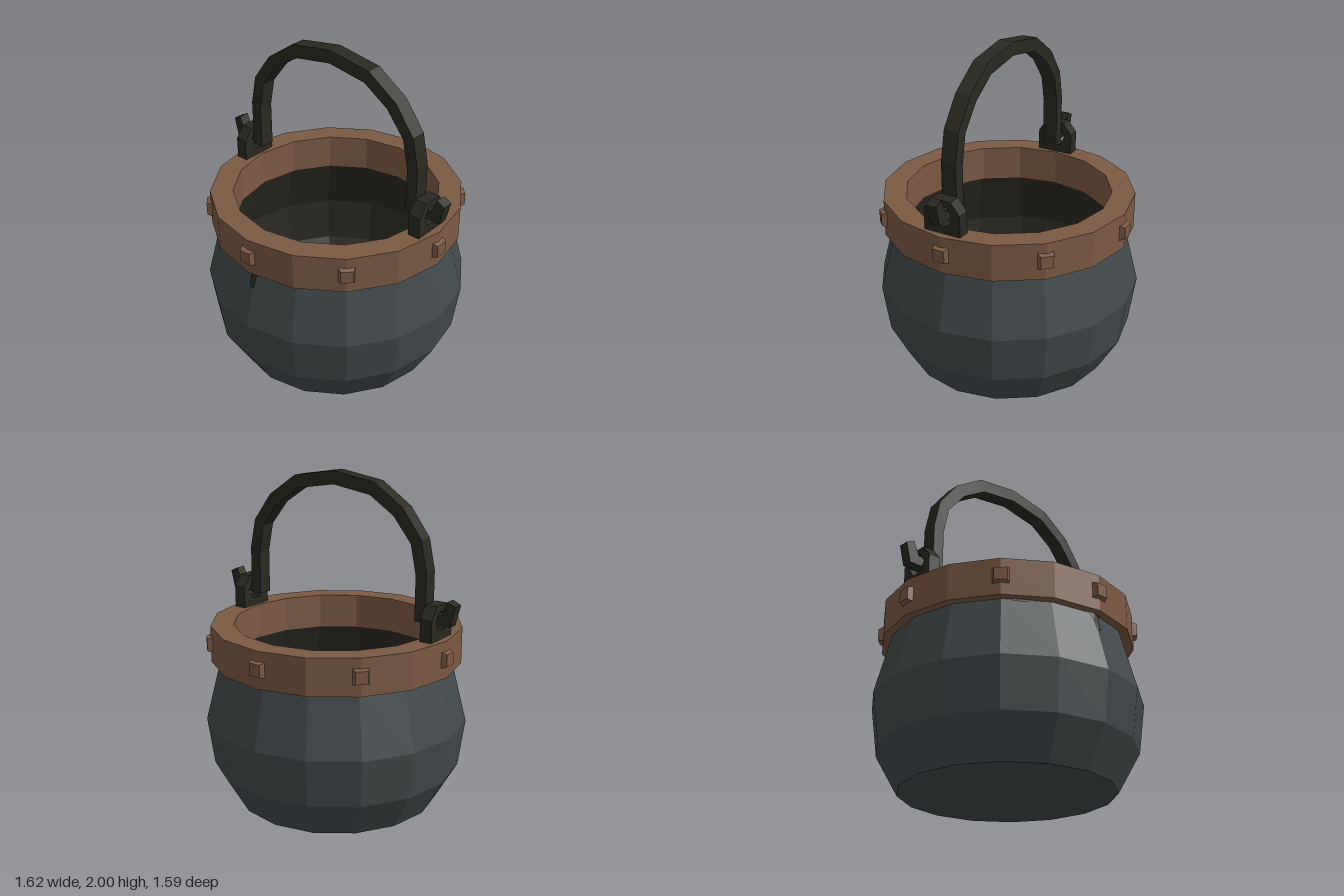
import * as THREE from 'three';

const SIDES = 16;
const Z0 = 0.015; // the handle and lugs sit slightly forward

const mat = (name, color) => {
  const m = new THREE.MeshStandardMaterial({ color });
  m.name = name;
  m.flatShading = true;
  return m;
};

export function createModel() {
  const iron = mat('blue grey iron', 0x42494b);
  const copper = mat('brown rim', 0x7b5a43);
  const dark = mat('dark olive iron', 0x292820);
  const group = new THREE.Group();

  const add = (name, geometry, material, parent = group) => {
    const mesh = new THREE.Mesh(geometry, material);
    mesh.name = name;
    parent.add(mesh);
    return mesh;
  };
  const vec = (pts) => pts.map(([x, y]) => new THREE.Vector2(x, y));
  const lathe = (pts) => new THREE.LatheGeometry(vec(pts), SIDES);
  // Extrusion centred on its own depth
  const slab = (shape, depth) =>
    new THREE.ExtrudeGeometry(shape, { depth, bevelEnabled: false }).translate(0, 0, -depth / 2);

  // Pot: outer wall with base, and a thin inner wall with floor
  add('potBody', lathe([[0, 0], [0.625, 0], [0.757, 0.23], [0.797, 0.52], [0.7, 0.9]]), iron);
  add('potInside', lathe([[0.65, 0.9], [0.765, 0.52], [0.73, 0.24], [0.615, 0.03], [0, 0.03]]), dark);

  // Rim band
  add('rim', lathe([[0.62, 0.88], [0.757, 0.88], [0.757, 1.1], [0.62, 1.1], [0.62, 0.88]]), copper);

  // Rivets: eight square studs with tapered heads
  for (let i = 0; i < 8; i++) {
    const stud = new THREE.CylinderGeometry(0.052, 0.073, 0.05, 4)
      .rotateY(Math.PI / 4).rotateX(Math.PI / 2)
      .translate(0, 0.995, 0.755).rotateY((i * Math.PI) / 4);
    add('rivet', stud, copper);
  }

  // Lugs: chamfered plates with a hexagonal eye
  const lug = new THREE.Shape(vec([
    [-0.115, 1.08], [0.115, 1.08], [0.115, 1.23], [0.06, 1.3], [-0.06, 1.3], [-0.115, 1.23],
  ]));
  const eye = [];
  for (let i = 0; i < 6; i++) {
    const a = (-i * Math.PI) / 3;
    eye.push([0.066 * Math.cos(a), 1.205 + 0.066 * Math.sin(a)]);
  }
  lug.holes.push(new THREE.Path(vec(eye)));
  for (const s of [-1, 1]) {
    add('lug', slab(lug, 0.075).rotateY(Math.PI / 2), dark).position.set(s * 0.673, 0, Z0);
  }

  // Handle: faceted arch with straight legs
  const mirror = (pts) => pts.slice(0, -1).reverse().map(([x, y]) => [-x, y]);
  const outer = [[0.63, 1.19], [0.63, 1.48], [0.592, 1.66], [0.47, 1.825], [0.28, 1.955], [0, 2]];
  const inner = [[0.56, 1.19], [0.56, 1.46], [0.525, 1.63], [0.41, 1.775], [0.25, 1.88], [0, 1.92]];
  const arch = [...outer, ...mirror(outer), ...[...inner, ...mirror(inner)].reverse()];
  add('handle', slab(new THREE.Shape(vec(arch)), 0.093), dark).position.z = Z0;

  // Hooks: bars through the lugs with upturned tips
  const hook = [[0.6, 1.19], [0.78, 1.185], [0.81, 1.305], [0.76, 1.33], [0.722, 1.245], [0.6, 1.245]];
  for (const s of [-1, 1]) {
    const shape = new THREE.Shape(vec(hook.map(([x, y]) => [s * x, y])));
    add('handleHook', slab(shape, 0.065), dark).position.z = Z0;
  }

  // Drips: flat outlines wrapped onto the faceted wall below the rim
  const step = (2 * Math.PI) / SIDES;
  const drip = (pts) => {
    const g = new THREE.ShapeGeometry(new THREE.Shape(vec(pts)));
    const p = g.attributes.position;
    for (let i = 0; i < p.count; i++) {
      const y = p.getY(i);
      const r = 0.7 + (0.9 - y) * 0.255;
      const a = Math.asin(p.getX(i) / r);
      const local = a - Math.floor(a / step) * step - step / 2;
      const wall = (r * Math.cos(step / 2)) / Math.cos(local) + 0.009;
      p.setXYZ(i, wall * Math.sin(a), y, wall * Math.cos(a));
    }
    g.computeVertexNormals();
    add('drip', g, dark);
  };
  drip([[-0.1, 0.89], [-0.06, 0.874], [-0.03, 0.864], [-0.018, 0.83], [-0.014, 0.772], [0, 0.764],
    [0.018, 0.768], [0.022, 0.83], [0.035, 0.868], [0.08, 0.89], [0, 0.89]]);
  drip([[-0.49, 0.89], [-0.45, 0.864], [-0.39, 0.864], [-0.34, 0.89]]);

  return group;
}
